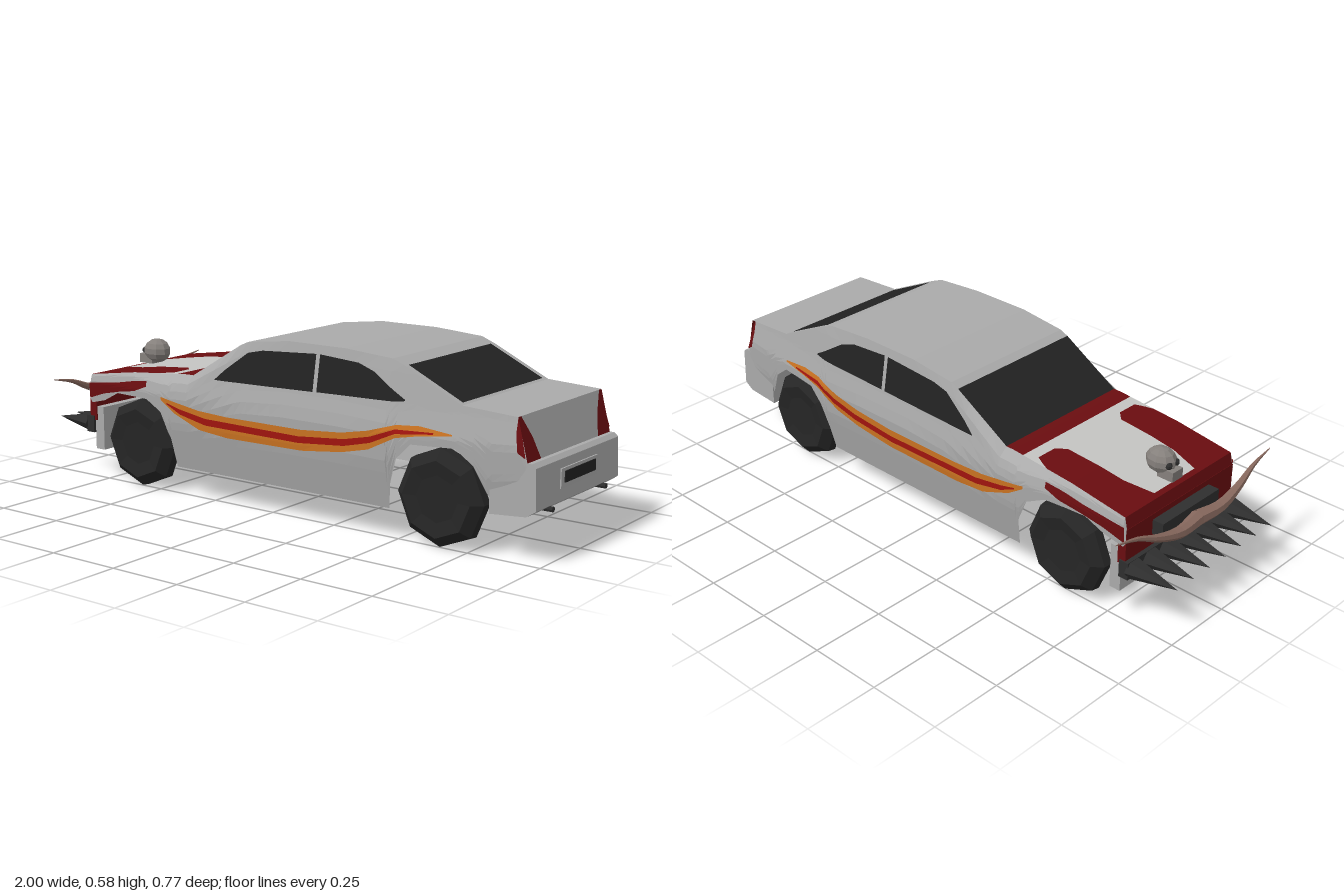
import * as THREE from 'three';

const mat = (name, color, side = THREE.DoubleSide) => {
  const m = new THREE.MeshStandardMaterial({ color, side, flatShading: true });
  m.name = name;
  return m;
};

// Piecewise linear lookup: list of [x, a, b...], column k
function lerpList(list, x, k = 1) {
  if (x <= list[0][0]) return list[0][k];
  for (let i = 1; i < list.length; i++) {
    const p = list[i - 1], q = list[i];
    if (x <= q[0]) return p[k] + (q[k] - p[k]) * (x - p[0]) / (q[0] - p[0] || 1);
  }
  return list[list.length - 1][k];
}

// Upper outline of the body along its length
const TOP = [[-0.82, 0.33], [-0.81, 0.375], [-0.6, 0.405], [-0.36, 0.425], [-0.33, 0.425], [-0.12, 0.55],
  [-0.09, 0.563], [0.08, 0.583], [0.3, 0.583], [0.48, 0.57], [0.53, 0.55], [0.73, 0.455], [0.92, 0.445], [0.955, 0.31]];
// Lower outline with the wheel arches
const LOW = [[-0.82, 0.27], [-0.74, 0.29], [-0.67, 0.325], [-0.52, 0.325], [-0.45, 0.29], [-0.41, 0.2], [-0.4, 0.1],
  [0.48, 0.1], [0.49, 0.18], [0.52, 0.27], [0.57, 0.32], [0.72, 0.325], [0.78, 0.28], [0.82, 0.2], [0.84, 0.17], [0.955, 0.2]];
// Half width at the belt line, and how far the side leans in above and below it
const BELT = [[-0.82, 0.268], [-0.6, 0.285], [-0.42, 0.306], [0.48, 0.306], [0.7, 0.285], [0.955, 0.265]];
const LEAN = [[0.1, -0.035], [0.25, -0.005], [0.35, 0], [0.43, -0.018], [0.58, -0.044]];
const topY = x => lerpList(TOP, x);
const sideZ = (x, y) => Math.min(lerpList(BELT, x) + lerpList(LEAN, y), 0.262 + Math.max(0, topY(x) - y) * 1.1);

// Patch between two edges given as [x, low, high], laid on a surface by place(x, t)
function patch(rows, place, steps) {
  const x0 = rows[0][0], x1 = rows[rows.length - 1][0];
  const xs = new Set([...rows, ...TOP, ...BELT].map(p => p[0]).filter(x => x >= x0 && x <= x1));
  for (let x = x0 + 0.05; x < x1; x += 0.05) xs.add(x);
  const cols = [...xs].sort((a, b) => a - b);
  const pos = [], idx = [];
  cols.forEach((x, i) => {
    for (let j = 0; j <= steps; j++) {
      const lo = lerpList(rows, x, 1), hi = lerpList(rows, x, 2);
      pos.push(...place(x, lo + (hi - lo) * j / steps));
      if (i && j) {
        const d = i * (steps + 1) + j, c = d - 1, b = d - steps - 1, a = b - 1;
        idx.push(a, c, d, a, d, b);
      }
    }
  });
  const g = new THREE.BufferGeometry();
  g.setAttribute('position', new THREE.Float32BufferAttribute(pos, 3));
  g.setIndex(idx);
  const flat = g.toNonIndexed();
  flat.computeVertexNormals();
  return flat;
}

export function createModel() {
  const car = new THREE.Group();
  car.name = 'car';
  const paint = mat('body grey', 0xaaaaaa), pale = mat('pale hood paint', 0xc4c4c2);
  const red = mat('dark red paint', 0x6a0d10), stripeRed = mat('stripe red', 0xa3140f);
  const orange = mat('stripe orange', 0xcc7422), glass = mat('dark glass', 0x222222);
  const rubber = mat('tyre black', 0x252525), iron = mat('spike iron', 0x2e2e2e);
  const bone = mat('skull bone', 0x85807c), horn = mat('horn brown', 0x88695e);

  const add = (name, geo, m, x = 0, y = 0, z = 0) => {
    const mesh = new THREE.Mesh(geo, m);
    mesh.name = name;
    mesh.position.set(x, y, z);
    car.add(mesh);
    return mesh;
  };
  const box = (name, m, x0, x1, y0, y1, w, z = 0) =>
    add(name, new THREE.BoxGeometry(x1 - x0, y1 - y0, w), m, (x0 + x1) / 2, (y0 + y1) / 2, z);
  const both = (name, geo, m) => {
    add(name + 'Left', geo, m);
    add(name + 'Right', geo, m).scale.z = -1;
  };
  const side = (name, m, rows, off = 0, steps = 4) =>
    both(name, patch(rows, (x, y) => [x, y, sideZ(x, y) + off], steps), m);
  // Painted side details show on both faces of the open shell
  const decal = (name, m, rows, off = 0.004) => {
    side(name, m, rows, off);
    side(name + 'Inner', m, rows, -off);
  };
  const topGeo = rows => patch(rows.map(([x, a, b]) => [x, -b, -a]), (x, z) => [x, topY(x), -z], 2);
  const top = (name, m, x0, x1, w = 0.262) => add(name, topGeo([[x0, -w, w], [x1, -w, w]]), m);
  const topPair = (name, m, rows) => both(name, topGeo(rows), m);

  // Side shells
  const xs = [...new Set([...LOW, ...TOP].map(p => p[0]))].sort((a, b) => a - b);
  side('sidePanel', paint, xs.map(x => [x, lerpList(LOW, x), topY(x)]), 0, 12);

  // Upper surfaces from nose to tail
  top('noseBand', red, -0.82, -0.79);
  add('hoodCentre', topGeo([[-0.79, -0.1, 0.1], [-0.69, -0.125, 0.125], [-0.47, -0.13, 0.13], [-0.44, -0.16, 0.16]]), pale);
  topPair('hoodPatch', red, [[-0.79, 0.1, 0.262], [-0.69, 0.125, 0.262], [-0.5, 0.13, 0.262], [-0.47, 0.13, 0.25], [-0.44, 0.16, 0.235]]);
  topPair('hoodEdge', pale, [[-0.5, 0.262, 0.262], [-0.47, 0.25, 0.262], [-0.44, 0.235, 0.262]]);
  topPair('hoodRear', pale, [[-0.44, 0, 0.262], [-0.4, 0, 0.262]]);
  top('cowl', red, -0.4, -0.33);
  top('windshield', glass, -0.33, -0.12);
  top('roof', paint, -0.12, 0.525);
  top('rearWindow', glass, 0.525, 0.72, 0.242);
  topPair('rearPillar', paint, [[0.525, 0.242, 0.262], [0.72, 0.242, 0.262]]);
  top('trunkLid', paint, 0.72, 0.92);
  add('tailPanel', topGeo([[0.92, -0.245, 0.245], [0.937, -0.205, 0.205], [0.955, -0.18, 0.18]]), paint);
  topPair('tailLight', red, [[0.92, 0.245, 0.262], [0.937, 0.205, 0.262], [0.955, 0.18, 0.262]]);
  decal('tailLightSide', red, [[0.915, 0.4, 0.442], [0.925, 0.34, 0.42], [0.95, 0.325, 0.328]]);

  // Side windows
  decal('frontWindow', glass, [[-0.21, 0.428, 0.43], [-0.17, 0.428, 0.465], [-0.08, 0.43, 0.53], [-0.02, 0.431, 0.543], [0.195, 0.436, 0.555]]);
  decal('backWindow', glass, [[0.21, 0.437, 0.555], [0.36, 0.44, 0.545], [0.42, 0.441, 0.525], [0.5, 0.443, 0.475], [0.54, 0.448, 0.452]]);

  // Flame stripes along the flanks
  decal('stripeOrange', orange, [[-0.44, 0.335, 0.345], [-0.38, 0.295, 0.335], [-0.27, 0.252, 0.318], [-0.15, 0.24, 0.312],
    [0.16, 0.243, 0.312], [0.32, 0.262, 0.325], [0.42, 0.285, 0.345], [0.52, 0.335, 0.375], [0.6, 0.35, 0.38], [0.71, 0.362, 0.367]]);
  decal('stripeRed', stripeRed, [[-0.41, 0.324, 0.328], [-0.35, 0.295, 0.313], [-0.24, 0.272, 0.295], [0.15, 0.268, 0.29],
    [0.33, 0.284, 0.306], [0.43, 0.308, 0.328], [0.52, 0.348, 0.362], [0.65, 0.361, 0.366]], 0.007);
  decal('fenderPatch', red, [[-0.815, 0.29, 0.345], [-0.74, 0.315, 0.355], [-0.66, 0.332, 0.365], [-0.58, 0.345, 0.38], [-0.52, 0.368, 0.388]]);

  // Front end
  box('noseFace', red, -0.82, -0.79, 0.21, 0.335, 0.53);
  box('frontBumper', paint, -0.8, -0.76, 0.105, 0.26, 0.52);
  box('grille', iron, -0.86, -0.81, 0.265, 0.315, 0.28);
  box('spikeBar', iron, -0.835, -0.8, 0.165, 0.225, 0.54);
  for (let i = -3; i <= 3; i++) {
    const spike = add('spike', new THREE.ConeGeometry(0.034, 0.17, 6).scale(1, 1, 1.2), iron, -0.915, 0.195, i * 0.08);
    spike.rotation.z = Math.PI / 2;
  }

  // Tapered horns swept along a curve
  const horns = new THREE.CatmullRomCurve3([[-0.885, 0.285, 0], [-0.895, 0.285, 0.1], [-0.89, 0.31, 0.2], [-0.88, 0.345, 0.29], [-0.875, 0.365, 0.385]]
    .map(p => new THREE.Vector3(...p)));
  const hornGeo = new THREE.TubeGeometry(horns, 12, 0.026, 7);
  const hp = hornGeo.attributes.position;
  for (let i = 0; i < hp.count; i++) {
    const t = Math.floor(i / 8) / 12, c = horns.getPointAt(t), k = 1 - 0.95 * t;
    hp.setXYZ(i, c.x + (hp.getX(i) - c.x) * k, c.y + (hp.getY(i) - c.y) * k, c.z + (hp.getZ(i) - c.z) * k);
  }
  both('horn', hornGeo, horn);

  // Skull ornament
  add('skull', new THREE.SphereGeometry(0.046, 9, 7).scale(1.15, 0.95, 0.95), bone, -0.735, 0.432, 0);
  box('skullJaw', bone, -0.8, -0.74, 0.385, 0.418, 0.05);
  for (const z of [-0.018, 0.018]) add('eyeSocket', new THREE.SphereGeometry(0.012, 6, 5), iron, -0.778, 0.432, z);

  // Rear bumper with plate and exhausts
  const bs = new THREE.Shape([[0.83, 0.14], [0.955, 0.15], [0.988, 0.172], [0.984, 0.3], [0.97, 0.312], [0.83, 0.31]]
    .map(p => new THREE.Vector2(...p)));
  add('rearBumper', new THREE.ExtrudeGeometry(bs, { depth: 0.525, bevelEnabled: false }), paint, 0, 0, -0.2625);
  box('plateFrame', paint, 0.983, 0.99, 0.21, 0.272, 0.235);
  box('plate', glass, 0.986, 0.993, 0.226, 0.262, 0.195);
  for (const z of [-0.17, 0.17]) {
    add('exhaust', new THREE.CylinderGeometry(0.009, 0.009, 0.07, 8), iron, 0.96, 0.16, z).rotation.z = Math.PI / 2;
  }

  // Eight-sided wheels, tapered outward with a shallow hub
  const wheelGeo = new THREE.LatheGeometry([[0, 0.012], [0.085, 0.004], [0.11, 0], [0.158, 0], [0.155, 0.03], [0.122, 0.06], [0.075, 0.052], [0, 0.052]]
    .map(p => new THREE.Vector2(...p)), 8).rotateX(Math.PI / 2);
  for (const x of [-0.58, 0.655]) for (const s of [1, -1]) {
    const wheel = add(x < 0 ? 'frontWheel' : 'rearWheel', wheelGeo, rubber, x, 0.158, s * 0.225);
    wheel.scale.z = s;
  }
  return car;
}
